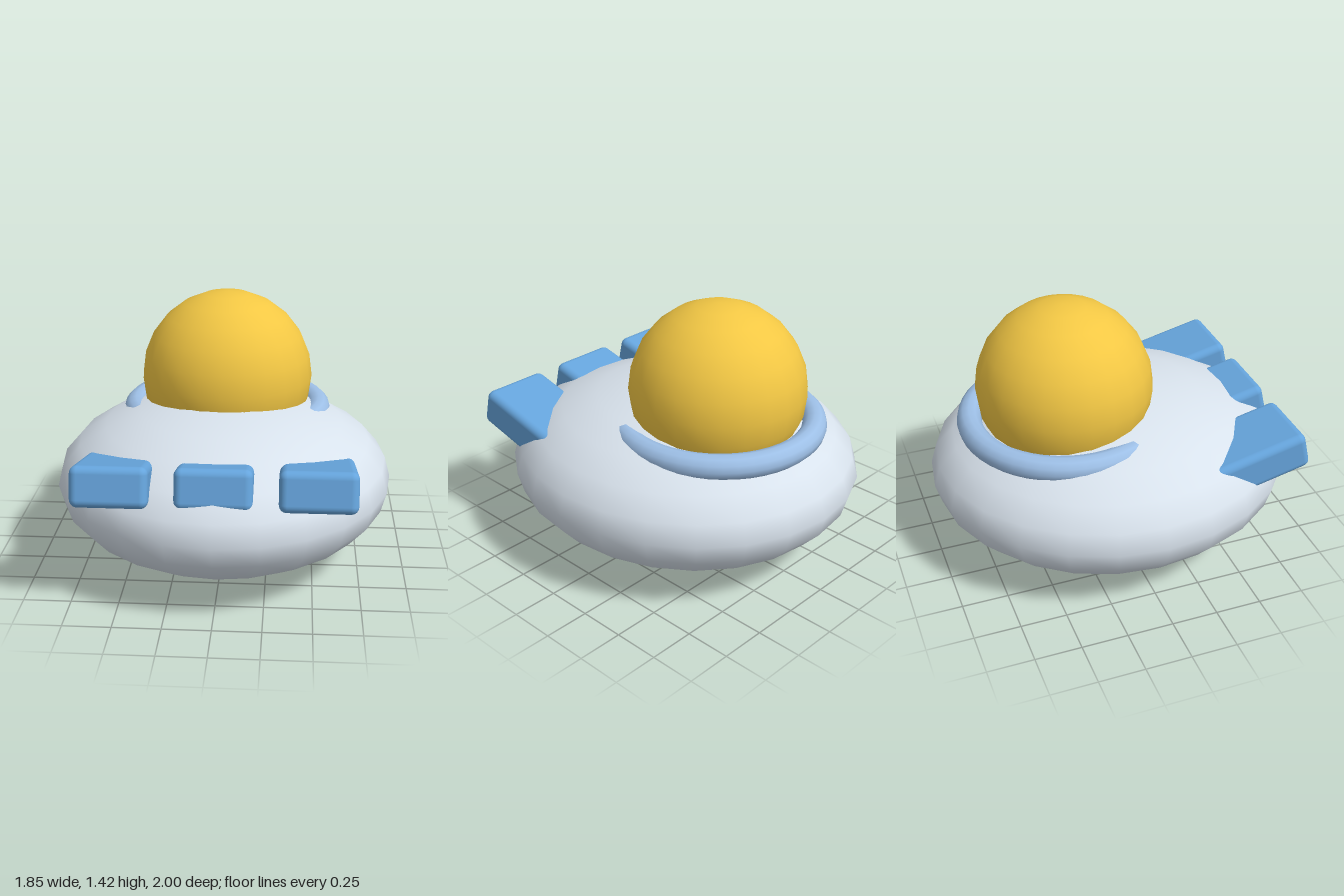
import * as THREE from 'three';
import { RoundedBoxGeometry } from 'three/addons/geometries/RoundedBoxGeometry.js';

const material = (color) => new THREE.MeshStandardMaterial({ color });

function addPart(group, name, geometry, mat, x, y, z) {
  const mesh = new THREE.Mesh(geometry, mat);
  mesh.name = name;
  mesh.position.set(x, y, z);
  group.add(mesh);
  return mesh;
}

export function createModel() {
  const group = new THREE.Group();
  group.name = 'saucer';

  const hullMat = material(0xd8e2ec);
  const domeMat = material(0xf2c744);
  const ringMat = material(0x9dbfe6);
  const blockMat = material(0x66a5dd);

  // Flattened hull, slightly longer than wide
  const hull = addPart(group, 'hull', new THREE.SphereGeometry(1, 24, 12), hullMat, 0, 0.447, 0);
  hull.scale.set(0.925, 0.442, 1);

  // Cockpit dome, set towards the back
  addPart(group, 'dome', new THREE.SphereGeometry(0.48, 24, 12), domeMat, 0, 0.95, -0.25);

  // Collar around the dome, its front half sunk into the hull
  const collar = new THREE.TorusGeometry(0.522, 0.068, 12, 48).rotateX(Math.PI / 2);
  addPart(group, 'collar', collar, ringMat, 0, 0.757, -0.25);

  // Three tilted blocks along the front, buried in the hull at the back
  const blockGeometry = new RoundedBoxGeometry(0.39, 0.21, 0.58, 4, 0.04);
  const blocks = [['rightBlock', -0.515], ['middleBlock', 0], ['leftBlock', 0.515]];
  for (const [name, x] of blocks) {
    const block = addPart(group, name, blockGeometry, blockMat, x, 0.637, 0.598);
    block.rotation.x = -0.235;
  }

  return group;
}
